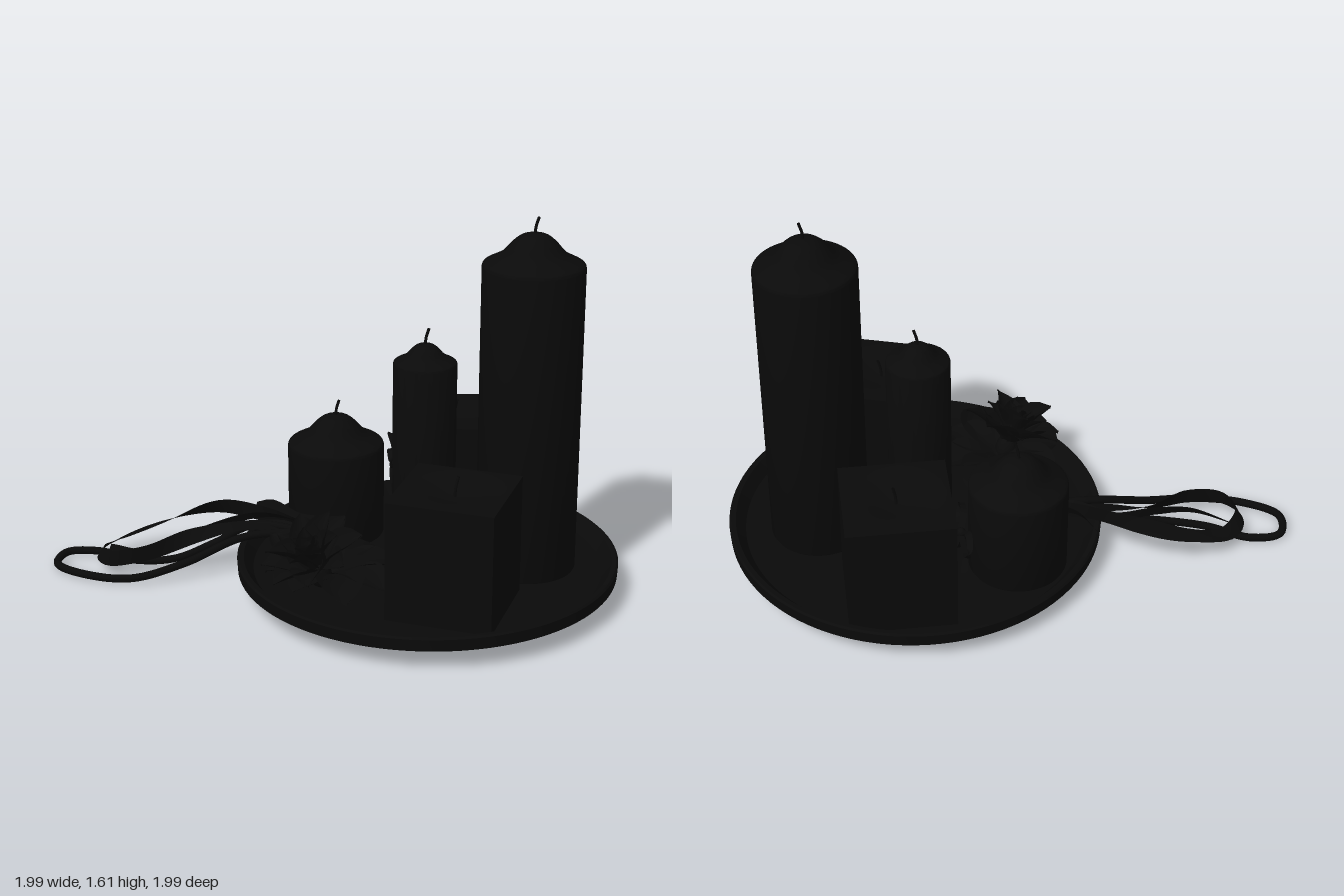
import * as THREE from 'three';
import { toCreasedNormals } from 'three/addons/utils/BufferGeometryUtils.js';

const V = (x, y, z) => new THREE.Vector3(x, y, z);
const solid = new THREE.MeshStandardMaterial({ color: 0x0a0a0a });
const thin = new THREE.MeshStandardMaterial({ color: 0x0a0a0a, side: THREE.DoubleSide });
const FLOOR = 0.09;

function add(parent, name, geometry, material = solid) {
  const mesh = new THREE.Mesh(geometry, material);
  mesh.name = name;
  parent.add(mesh);
  return mesh;
}

function lathe(points, segments = 64) {
  const profile = points.map(([r, y]) => new THREE.Vector2(r, y));
  return toCreasedNormals(new THREE.LatheGeometry(profile, segments), 0.6);
}

// Slightly leaning wick from y0 to y1
function wick(parent, y0, y1) {
  const path = new THREE.CatmullRomCurve3([V(0, y0, 0), V(0.003, (y0 + y1) / 2, 0), V(0.012, y1, -0.008)]);
  add(parent, 'wick', new THREE.TubeGeometry(path, 8, 0.006, 8), thin);
}

// Round candle with a soft peaked top
function pillarCandle(name, x, z, r, top) {
  const g = new THREE.Group();
  g.name = name;
  g.position.set(x, 0, z);
  const h = r * 0.67;
  const crown = new THREE.SplineCurve([[1, 0], [0.97, 0.1], [0.82, 0.22], [0.62, 0.4], [0.42, 0.73], [0.24, 0.93], [0, 1]]
    .map(([a, b]) => new THREE.Vector2(a * r, top - h + b * h))).getPoints(24).map((p) => [Math.max(0, p.x), p.y]);
  add(g, 'wax', lathe([[0, FLOOR], [r * 0.97, FLOOR], [r, FLOOR + 0.012], ...crown]));
  wick(g, top - 0.02, top + 0.065);
  return g;
}

// Square candle with a shallow melted hollow
function squareCandle(name, x, z, turn) {
  const g = new THREE.Group();
  g.name = name;
  g.position.set(x, 0, z);
  g.rotation.y = turn;
  const geo = new THREE.BoxGeometry(0.44, 0.51, 0.44, 20, 1, 20).translate(0, FLOOR + 0.255, 0);
  const p = geo.attributes.position;
  for (let i = 0; i < p.count; i++) {
    const d = Math.hypot(p.getX(i), p.getZ(i)) / 0.2;
    if (p.getY(i) > 0.5 && d < 1) p.setY(i, 0.6 - 0.015 * (1 + Math.cos(Math.PI * d)));
  }
  add(g, 'wax', toCreasedNormals(geo, 0.6));
  wick(g, 0.56, 0.655);
  return g;
}

// Flat ribbon along a path; twist(t) turns its width from level to upright
function ribbon(points, width, twist) {
  const path = new THREE.CatmullRomCurve3(points.map((p) => V(...p)));
  const geo = new THREE.PlaneGeometry(1, 1, 2, 72);
  const p = geo.attributes.position;
  for (let i = 0; i < p.count; i++) {
    const t = THREE.MathUtils.clamp(p.getY(i) + 0.5, 0, 1);
    const tangent = path.getTangentAt(t);
    const side = V(0, 1, 0).cross(tangent).normalize();
    const across = side.applyAxisAngle(tangent, twist(t)).multiplyScalar(p.getX(i) * width);
    const q = path.getPointAt(t).add(across);
    p.setXYZ(i, q.x, q.y, q.z);
  }
  geo.computeVertexNormals();
  return geo;
}

// Pointed, cupped petal that leans by lean, and by curl more towards its tip
function petal(length, width, lean, curl, cup) {
  const geo = new THREE.PlaneGeometry(1, 1, 6, 10);
  const p = geo.attributes.position;
  for (let i = 0; i < p.count; i++) {
    const u = p.getX(i) * 2, v = p.getY(i) + 0.5;
    const a = lean + curl * v;
    const w = width * (0.15 * (1 - v) + Math.pow(Math.max(0, Math.sin(Math.PI * Math.pow(v, 1.25))), 0.75)) / 2;
    const fold = cup * u * u * w;
    const wave = 0.008 * Math.sin(7 * v + 2 * u) * Math.abs(u);
    p.setXYZ(i, u * w, length * v * Math.cos(a) + fold * Math.sin(a) + wave, length * v * Math.sin(a) - fold * Math.cos(a));
  }
  geo.computeVertexNormals();
  return geo;
}

function petalRing(parent, name, count, phase, size) {
  for (let i = 0; i < count; i++) {
    const [length, width, lean, curl, cup] = size;
    const m = add(parent, name, petal(length * (1 + 0.08 * Math.sin(i * 2.3)), width, lean, curl, cup), thin);
    m.rotation.y = phase + (i / count) * Math.PI * 2;
  }
}

export function createModel() {
  const model = new THREE.Group();
  model.name = 'candleArrangement';

  // Dish with sloping underside and a low rim
  const dish = add(model, 'dish', lathe([[0, 0], [0.6, 0], [0.8, 0.09], [0.803, 0.14], [0.795, 0.147],
    [0.775, 0.145], [0.735, FLOOR + 0.005], [0, FLOOR + 0.005]], 96));
  dish.position.set(0.195, 0, -0.193);

  // Candles
  model.add(
    pillarCandle('tallCandle', 0.457, -0.513, 0.21, 1.54),
    pillarCandle('mediumCandle', 0.13, -0.225, 0.133, 1.05),
    pillarCandle('shortCandle', -0.315, -0.1, 0.208, 0.637),
    squareCandle('leftSquareCandle', 0.57, -0.015, 0.575),
    squareCandle('rearSquareCandle', -0.1, -0.59, 0.88),
  );

  // Blossom leaning forward, over a spread of broad leaves
  const flower = new THREE.Group();
  flower.name = 'blossom';
  flower.position.set(0.16, 0.19, 0.35);
  flower.rotation.x = 0.42;
  petalRing(flower, 'innerPetal', 5, 0.2, [0.2, 0.1, 0.1, 0.2, 0.9]);
  petalRing(flower, 'middlePetal', 7, 0.5, [0.25, 0.13, 0.3, 0.35, 0.7]);
  petalRing(flower, 'outerPetal', 8, 0.1, [0.25, 0.15, 0.65, 0.4, 0.5]);
  const heart = add(flower, 'flowerHeart', new THREE.SphereGeometry(0.05, 16, 12));
  heart.scale.set(1, 1.3, 1);
  model.add(flower);

  const leaves = new THREE.Group();
  leaves.name = 'leaves';
  leaves.position.set(0.16, 0.17, 0.29);
  for (const [turn, length] of [[0.3, 0.26], [1.1, 0.35], [1.75, 0.29], [2.7, 0.28], [3.5, 0.3], [4.3, 0.31], [5.0, 0.29], [5.7, 0.27]]) {
    add(leaves, 'leaf', petal(length, 0.19, 1.1, 0.4, 0.3), thin).rotation.y = turn;
  }
  model.add(leaves);

  // Trailing bow: a round cord loop and two flat ribbon loops
  const bow = new THREE.Group();
  bow.name = 'trailingBow';
  const cordPath = new THREE.CatmullRomCurve3([[-0.2, 0.19, 0.14], [-0.42, 0.18, 0.27], [-0.5, 0.11, 0.42], [-0.58, 0.05, 0.57],
    [-0.72, 0.025, 0.69], [-0.9, 0.022, 0.76], [-0.98, 0.022, 0.87], [-0.9, 0.022, 0.97], [-0.73, 0.022, 0.93],
    [-0.56, 0.03, 0.8], [-0.46, 0.08, 0.6], [-0.36, 0.17, 0.36], [-0.2, 0.19, 0.14]].map((p) => V(...p)));
  add(bow, 'cordLoop', new THREE.TubeGeometry(cordPath, 120, 0.017, 10));
  add(bow, 'wideRibbonLoop', ribbon([[-0.24, 0.2, 0.13], [-0.42, 0.22, 0.22], [-0.62, 0.21, 0.31], [-0.77, 0.14, 0.47], [-0.85, 0.08, 0.66],
    [-0.8, 0.075, 0.81], [-0.69, 0.085, 0.83], [-0.59, 0.11, 0.71], [-0.54, 0.15, 0.5], [-0.42, 0.19, 0.31], [-0.24, 0.19, 0.13]],
  0.07, (t) => 0.9 + 0.7 * Math.sin(t * Math.PI * 4)), thin);
  add(bow, 'narrowRibbon', ribbon([[-0.18, 0.2, 0.1], [-0.36, 0.23, 0.21], [-0.5, 0.19, 0.3], [-0.57, 0.14, 0.5], [-0.65, 0.08, 0.68],
    [-0.83, 0.06, 0.75]], 0.04, (t) => 0.4 + 2 * t), thin);
  // Ribbon draped past the short candle towards the flower
  add(bow, 'drapedRibbon', ribbon([[-0.55, 0.19, 0.17], [-0.42, 0.24, 0.17], [-0.28, 0.22, 0.14], [-0.12, 0.23, 0.1], [0.05, 0.17, 0.14]],
    0.06, (t) => 0.9 + 0.5 * t), thin);
  const knot = add(bow, 'knot', new THREE.SphereGeometry(0.04, 16, 12));
  knot.position.set(-0.24, 0.2, 0.14);
  knot.scale.set(1.2, 0.8, 1);
  model.add(bow);

  // Small bow on the face of the rear square candle
  const smallBow = new THREE.Group();
  smallBow.name = 'smallBow';
  smallBow.position.set(-0.262, 0.4, -0.405);
  smallBow.rotation.y = -0.69;
  for (const s of [-1, 1]) {
    add(smallBow, 'bowLoop', ribbon([[0, 0, 0.01], [s * 0.08, 0.05, 0.035], [s * 0.15, 0.03, 0.03], [s * 0.14, -0.02, 0.02],
      [s * 0.07, -0.02, 0.015], [0, 0, 0.01]], 0.025, () => 0.3), thin);
    add(smallBow, 'bowTail', ribbon([[0, 0, 0.01], [s * 0.04, -0.07, 0.025], [s * 0.08, -0.15, 0.015]], 0.025, () => 0), thin);
  }
  add(smallBow, 'bowKnot', new THREE.SphereGeometry(0.02, 12, 8)).position.z = 0.012;
  model.add(smallBow);

  return model;
}
